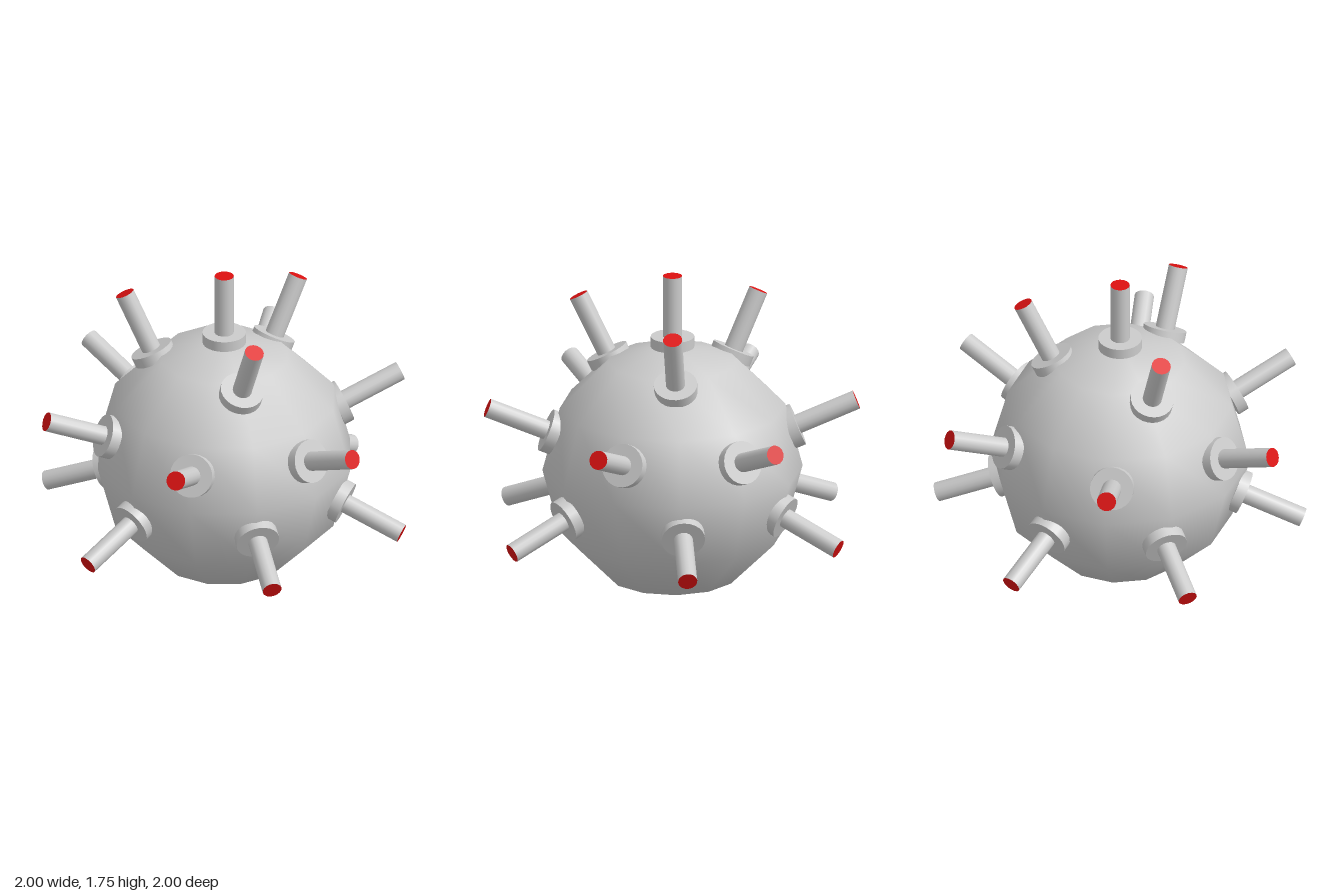
import * as THREE from 'three';

const grey = new THREE.MeshStandardMaterial({ color: 0xcccccc });
const red = new THREE.MeshStandardMaterial({ color: 0xdd1111 });

const ROD_LENGTH = 0.335;
const COLLAR_HEIGHT = 0.057;

// Each spike: centre of the collar's outer face, then centre of the rod's tip
const SPIKES = [
  // crown
  [[0, 1.42, 0], [0, 1.755, 0]],
  [[-0.395, 1.275, 0.012], [-0.54, 1.572, 0]],
  [[0.19, 1.275, -0.315], [0.285, 1.572, -0.432]],
  [[0.19, 1.275, 0.342], [0.288, 1.572, 0.46]],
  // upper ring
  [[0, 0.907, 0.67], [0, 1.037, 0.98]],
  [[0, 0.907, -0.67], [0, 1.037, -0.98]],
  [[-0.565, 0.907, 0.352], [-0.833, 1.037, 0.515]],
  [[0.568, 0.907, 0.345], [0.838, 1.037, 0.506]],
  [[0.556, 0.907, -0.36], [0.825, 1.037, -0.532]],
  [[-0.588, 0.907, -0.305], [-0.866, 1.037, -0.457]],
  // lower ring
  [[-0.67, 0.508, -0.027], [-0.98, 0.382, -0.04]],
  [[0.67, 0.508, 0.03], [0.98, 0.382, 0.05]],
  [[-0.36, 0.508, 0.555], [-0.522, 0.382, 0.82]],
  [[0.337, 0.508, 0.57], [0.488, 0.382, 0.842]],
  [[-0.335, 0.508, -0.57], [-0.49, 0.382, -0.84]],
  [[0.313, 0.508, -0.575], [0.467, 0.382, -0.85]],
];

// Geometry along +y, with the collar's outer face at y = 0
const collarGeo = new THREE.CylinderGeometry(0.115, 0.115, COLLAR_HEIGHT, 24)
  .translate(0, -COLLAR_HEIGHT / 2, 0);
const rodGeo = new THREE.CylinderGeometry(0.051, 0.051, ROD_LENGTH + 0.03, 16, 1, true)
  .translate(0, (ROD_LENGTH - 0.03) / 2, 0);
const tipGeo = new THREE.CircleGeometry(0.051, 16)
  .rotateX(-Math.PI / 2).translate(0, ROD_LENGTH, 0);

function part(name, geometry, material) {
  const mesh = new THREE.Mesh(geometry, material);
  mesh.name = name;
  return mesh;
}

function createSpike(base, tip) {
  const spike = new THREE.Group();
  spike.name = 'spike';
  spike.add(part('collar', collarGeo, grey), part('rod', rodGeo, grey), part('tip', tipGeo, red));
  const from = new THREE.Vector3(...base);
  const direction = new THREE.Vector3(...tip).sub(from).normalize();
  spike.position.copy(from);
  spike.quaternion.setFromUnitVectors(new THREE.Vector3(0, 1, 0), direction);
  return spike;
}

export function createModel() {
  const model = new THREE.Group();
  model.name = 'spikedBall';

  // coarse, smooth-shaded ball
  const ball = part('ball', new THREE.SphereGeometry(0.686, 12, 6), grey);
  ball.position.y = 0.69;
  model.add(ball);

  for (const [base, tip] of SPIKES) model.add(createSpike(base, tip));
  return model;
}
